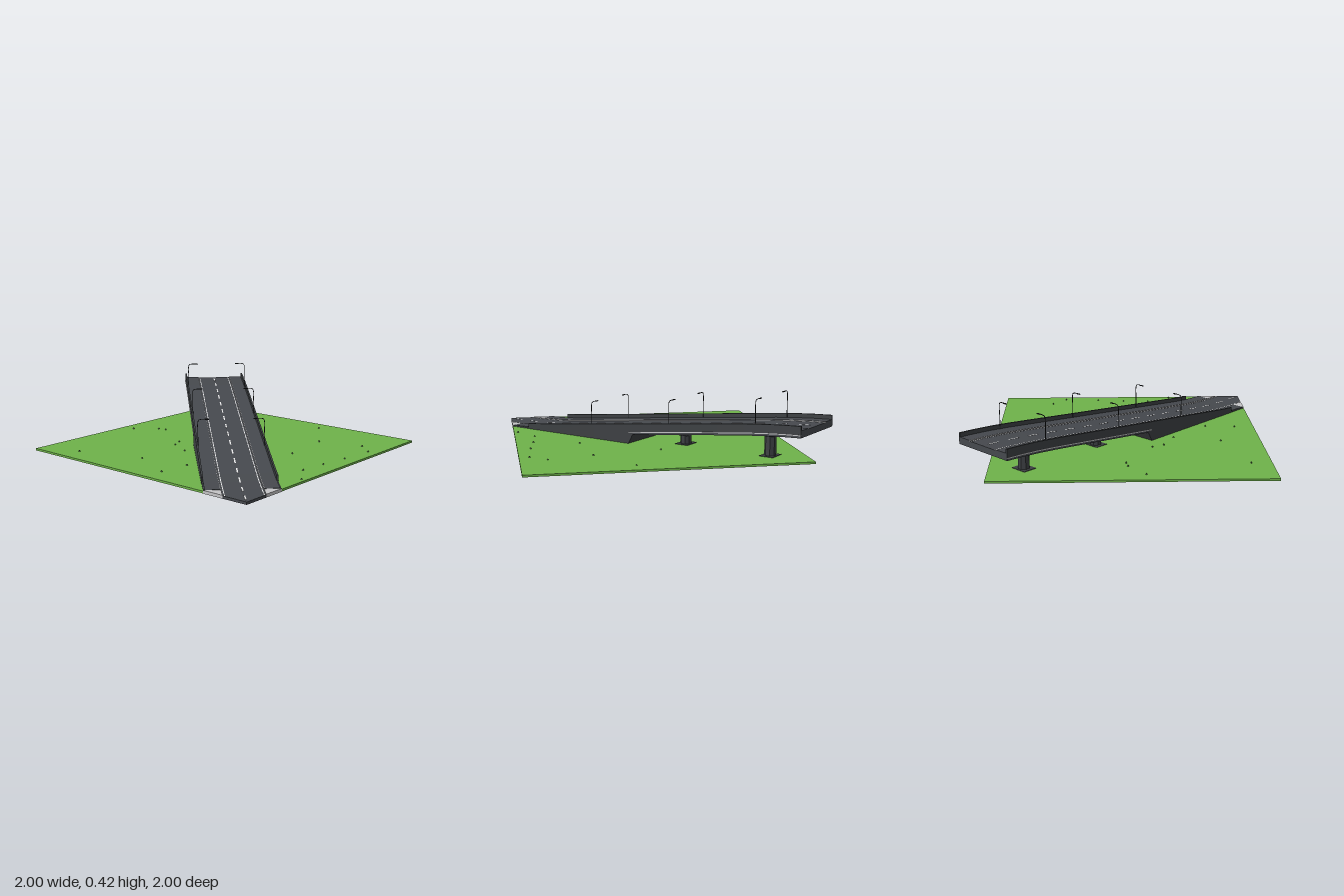
import * as THREE from 'three';

const mat = (name, color, side = THREE.FrontSide) => {
  const m = new THREE.MeshStandardMaterial({ color, side });
  m.name = name;
  return m;
};
const asphalt = mat('asphalt', 0x46494e);
const concrete = mat('dark concrete', 0x3d4043);
const kerbGrey = mat('kerb grey', 0xc4c4c6);
const white = mat('line white', 0xe8e8e8);
const grass = mat('grass', 0x6eb24a);
const metal = mat('lamp metal', 0x26282a);
const bush = mat('bush green', 0x2c5420);

const END = 2.595, HALF = 0.23, FULL = 0.23, WALL_END = 1.29;

// Height of the road surface along its length s
const PROFILE = [[0, 0.017], [0.23, 0.017], [0.386, 0.022], [0.513, 0.032], [1, 0.086], [1.644, 0.157],
  [2, 0.197], [2.2, 0.219], [2.35, 0.233], [2.48, 0.242], [END, 0.247]];
function road(s) {
  for (let i = 1; i < PROFILE.length; i++) {
    const [a, ya] = PROFILE[i - 1], [b, yb] = PROFILE[i];
    if (s <= b) return ya + (yb - ya) * (s - a) / (b - a);
  }
  return PROFILE[PROFILE.length - 1][1];
}

// Sections between two distances, with every profile break included
function stations(a, b) {
  return [a, ...PROFILE.map(p => p[0]).filter(s => s > a + 1e-4 && s < b - 1e-4), b];
}

// Closed flat-shaded loft of convex sections; section(s) gives [t, y] corners counter-clockwise
function loft(ss, section) {
  const rings = ss.map(s => section(s).map(([t, y]) => [t, y, -s]));
  const pos = [], n = rings[0].length;
  const tri = (a, b, c) => pos.push(...a, ...b, ...c);
  for (let k = 0; k + 1 < rings.length; k++) {
    const A = rings[k], B = rings[k + 1];
    for (let i = 0; i < n; i++) {
      const j = (i + 1) % n;
      tri(A[i], B[i], B[j]);
      tri(A[i], B[j], A[j]);
    }
  }
  const first = rings[0], last = rings[rings.length - 1];
  for (let i = 1; i + 1 < n; i++) {
    tri(first[0], first[i], first[i + 1]);
    tri(last[0], last[i + 1], last[i]);
  }
  const g = new THREE.BufferGeometry();
  g.setAttribute('position', new THREE.Float32BufferAttribute(pos, 3));
  g.computeVertexNormals();
  return g;
}

const rect = (t0, t1, y0, y1) => [[t0, y0], [t1, y0], [t1, y1], [t0, y1]];

function add(parent, name, geometry, material, x = 0, y = 0, z = 0) {
  const m = new THREE.Mesh(geometry, material);
  m.name = name;
  m.position.set(x, y, z);
  parent.add(m);
  return m;
}

// Strip that follows the road between t0 and t1, from lo to hi relative to its surface
function strip(parent, name, material, a, b, t0, t1, lo, hi) {
  return add(parent, name, loft(stations(a, b), s =>
    rect(t0, t1, Math.max(0.002, road(s) + lo), road(s) + hi)), material);
}

function lamp(parent, side, s) {
  const g = new THREE.Group();
  g.name = 'streetLamp';
  g.position.set(side * 0.217, road(s), -s);
  g.rotation.y = side > 0 ? Math.PI : 0;
  const path = new THREE.CatmullRomCurve3([[0, 0], [0, 0.08], [0, 0.168], [0.006, 0.182], [0.02, 0.186], [0.05, 0.187]]
    .map(([x, y]) => new THREE.Vector3(x, y, 0)));
  add(g, 'lampPole', new THREE.TubeGeometry(path, 20, 0.0026, 6), metal);
  add(g, 'lampHead', new THREE.BoxGeometry(0.026, 0.005, 0.01), metal, 0.058, 0.186, 0);
  parent.add(g);
}

function pier(parent, s) {
  const g = new THREE.Group();
  g.name = 'pier';
  g.position.z = -s;
  const top = road(s) - 0.04, low = top - 0.04;
  add(g, 'footing', new THREE.BoxGeometry(0.12, 0.018, 0.1), concrete, 0, 0.009, 0);
  const column = add(g, 'column', new THREE.CylinderGeometry(0.039, 0.039, low, 8).toNonIndexed(), concrete, 0, low / 2 + 0.004, 0);
  column.geometry.rotateY(Math.PI / 8);
  column.geometry.computeVertexNormals();
  // Hammerhead cap
  add(g, 'pierCap', loft([-0.035, 0.035], () =>
    [[-0.04, low], [0.04, low], [0.15, top - 0.013], [0.15, top + 0.004], [-0.15, top + 0.004], [-0.15, top - 0.013]]), concrete);
  parent.add(g);
}

export function createModel() {
  const model = new THREE.Group();
  model.name = 'roadRamp';

  // Grass plate with small scattered tufts
  add(model, 'ground', new THREE.BoxGeometry(1.834, 0.014, 1.834), grass, -0.082, 0.008, 0.082);
  const tufts = [[-0.17, -0.74], [-0.06, -0.59], [-0.05, -0.53], [-0.86, -0.55], [-0.72, -0.1], [-0.32, -0.18],
    [-0.24, -0.22], [-0.4, -0.02], [-0.86, 0.21], [-0.65, 0.23], [0.31, 0.06], [0.72, 0.29], [0.39, 0.52],
    [0.01, 0.57], [0.47, 0.82], [-0.27, 0.86], [-0.08, 0.88], [0.12, 0.91], [0.37, 0.93], [-0.44, 0.97]];
  const tuft = new THREE.ConeGeometry(0.007, 0.011, 5);
  for (const [x, z] of tufts) add(model, 'tuft', tuft, bush, x, 0.02, z);

  // Everything on the road lies in a frame along the diagonal: x across, -z forward
  const ramp = new THREE.Group();
  ramp.name = 'ramp';
  ramp.position.set(-1, 0, 1);
  ramp.rotation.y = -Math.PI / 4;
  model.add(ramp);

  // Road entry, cut to the corner of the plate
  add(ramp, 'roadEntry', loft([0, 0.125, FULL], s => {
    const t = Math.min(0.125, s);
    return rect(-t, t, 0, road(s));
  }), asphalt);

  // Road slab and solid approach with its leaning end wall
  strip(ramp, 'roadSlab', asphalt, FULL, END, -0.228, 0.228, -0.042, 0);
  add(ramp, 'approachWall', loft([...stations(FULL, WALL_END), 1.335], s =>
    rect(-HALF, HALF, s > WALL_END + 0.01 ? road(s) - 0.043 : 0, Math.max(0.012, road(s) - 0.015))), concrete);

  for (const side of [-1, 1]) {
    const span = (a, b) => side > 0 ? [a, b] : [-b, -a];
    // Pale pavement start, raised pavement and kerb
    add(ramp, 'pavementStart', loft([0.125, FULL], s =>
      rect(...span(0.125, Math.max(0.1251, Math.min(HALF, s))), 0, road(s) + 0.003)), kerbGrey);
    strip(ramp, 'pavement', asphalt, FULL, END, ...span(0.129, 0.22), -0.005, 0.005);
    strip(ramp, 'kerb', kerbGrey, FULL, END, ...span(0.125, 0.129), -0.005, 0.005);
    // Edge line
    strip(ramp, 'edgeLine', white, 0.12, END, ...span(0.111, 0.116), -0.001, 0.001);
    // Parapet with a pale ledge along the bridge
    strip(ramp, 'parapet', concrete, 0.386, END, ...span(0.218, HALF), -0.022, 0.033);
    strip(ramp, 'ledge', kerbGrey, 1.3, END, ...span(0.222, 0.232), -0.028, -0.022);
    for (let i = 0; i < 3; i++) lamp(ramp, side, 0.973 + i * 0.651);
  }

  // Centre dashes
  for (let k = 0; k < 16; k++) {
    const c = 0.08 + k * 0.162;
    strip(ramp, 'centreDash', white, c - 0.04, c + 0.04, -0.0045, 0.0045, -0.001, 0.001);
  }

  for (const s of [1.62, 2.27]) pier(ramp, s);
  return model;
}
